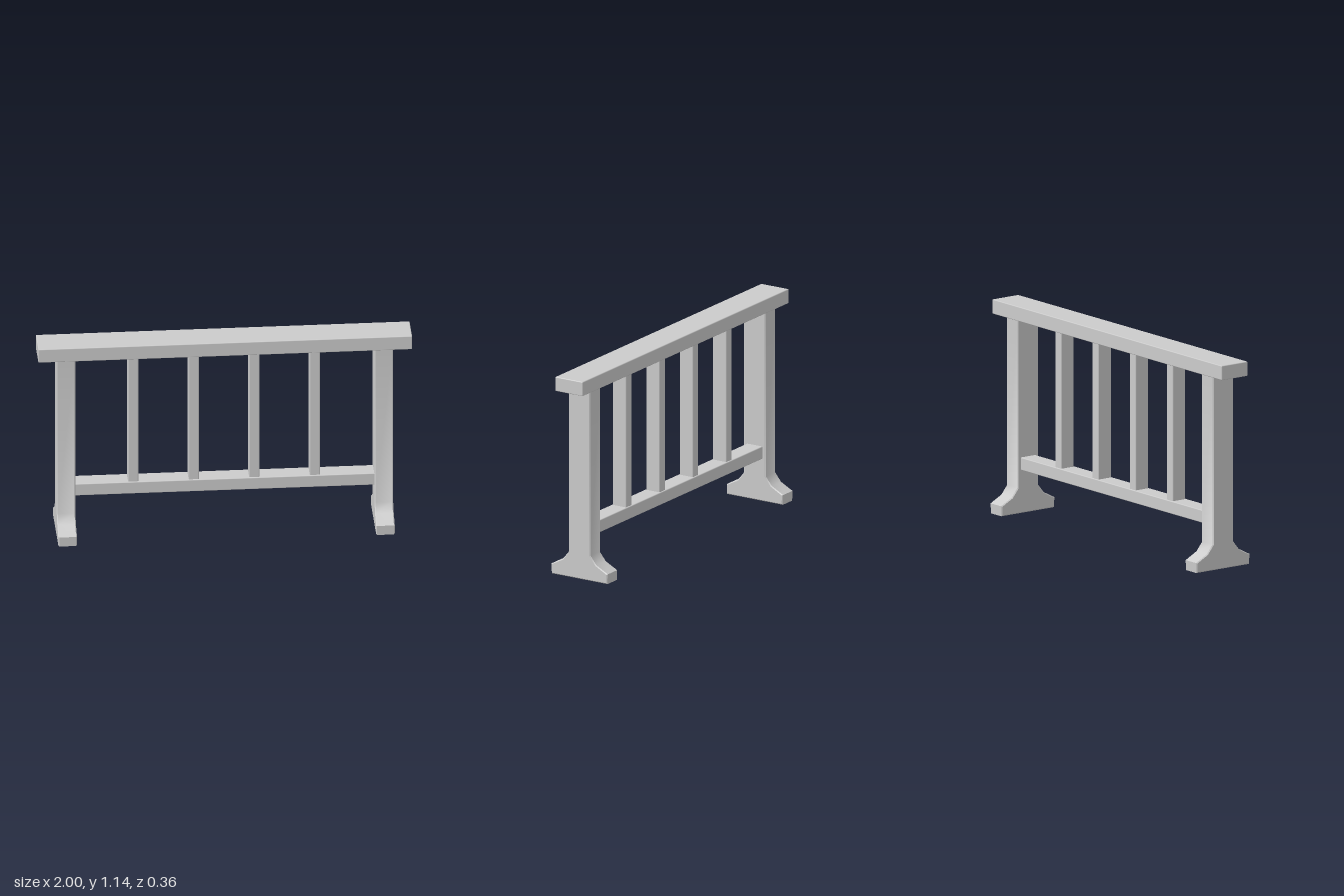
import * as THREE from 'three';
import { toCreasedNormals } from 'three/addons/utils/BufferGeometryUtils.js';
import { RoundedBoxGeometry } from 'three/addons/geometries/RoundedBoxGeometry.js';

const BEVEL = 0.005;

export function createModel() {
  const model = new THREE.Group();
  model.name = 'railing';
  const material = new THREE.MeshStandardMaterial({ color: 0xcccccc });

  const add = (name, geometry, x, y, z = 0) => {
    const mesh = new THREE.Mesh(geometry, material);
    mesh.name = name;
    mesh.position.set(x, y, z);
    model.add(mesh);
    return mesh;
  };
  // Beam with softly broken edges
  const beam = (w, h, d) => new RoundedBoxGeometry(w, h, d, 1, BEVEL);

  // Handrail and lower rail
  add('topRail', beam(2, 0.08, 0.176), 0, 1.1);
  add('bottomRail', beam(1.62, 0.07, 0.1), 0, 0.27);

  // Balusters, sunk slightly into both rails
  for (const x of [-0.489, -0.165, 0.159, 0.483]) {
    add('baluster', beam(0.055, 0.78, 0.086), x, 0.68);
  }

  // Posts with flared feet: half profile [z, y], mirrored front to back
  const half = [[0.178, 0], [0.18, 0.055], [0.107, 0.093], [0.069, 0.14], [0.069, 1.07]];
  const outline = [...half, ...half.map(([z, y]) => [-z, y]).reverse()]
    .map(([z, y]) => new THREE.Vector2(z, y));
  const post = toCreasedNormals(new THREE.ExtrudeGeometry(new THREE.Shape(outline), {
    depth: 0.1 - 2 * BEVEL,
    bevelEnabled: true,
    bevelThickness: BEVEL,
    bevelSize: BEVEL,
    bevelOffset: -BEVEL,
    bevelSegments: 1,
  }).translate(0, 0, BEVEL - 0.05).rotateY(Math.PI / 2), 0.7);
  add('rightPost', post, -0.85, 0);
  add('leftPost', post, 0.85, 0);

  return model;
}
